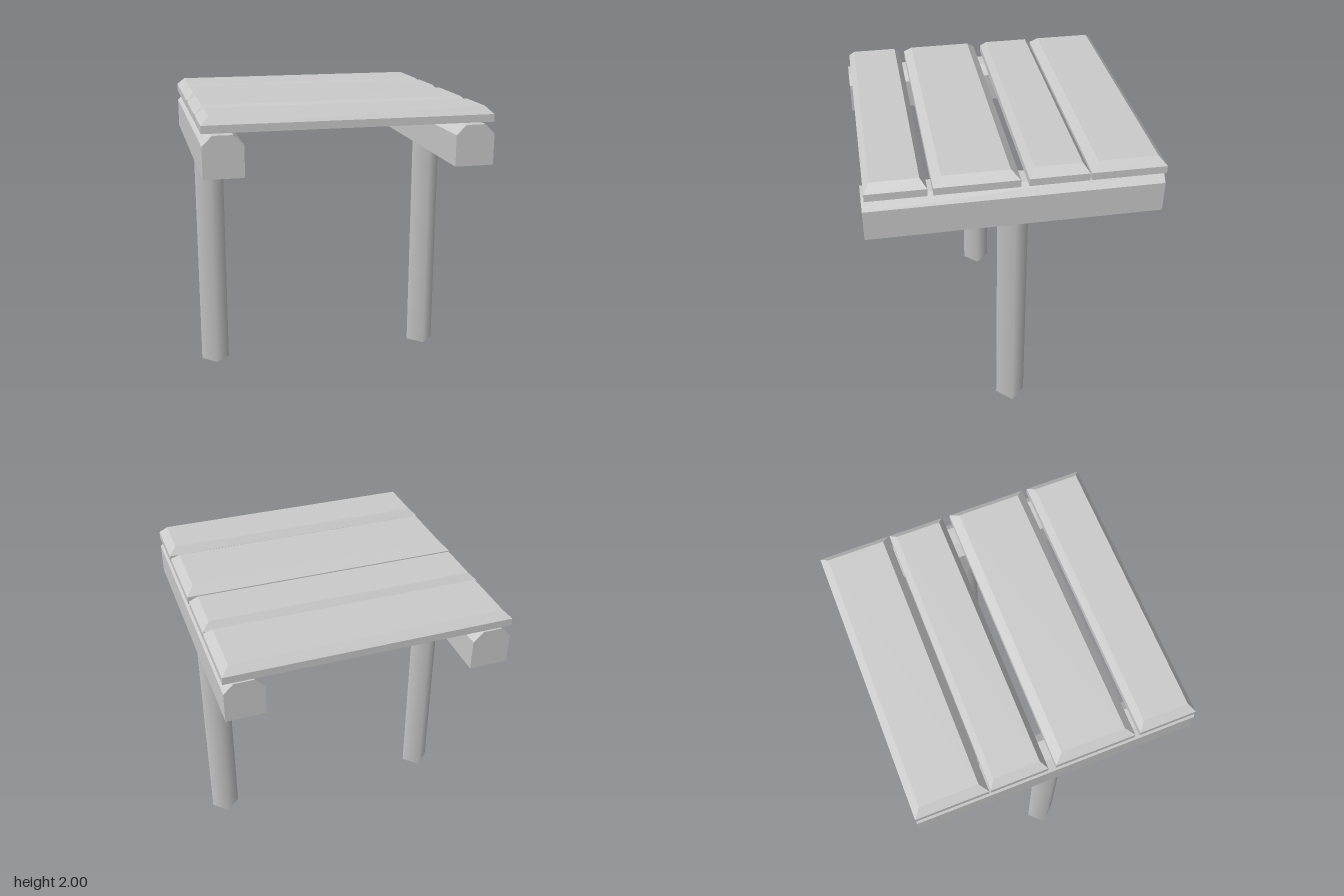
import * as THREE from 'three';

const flatGrey = new THREE.MeshStandardMaterial({ color: 0xcccccc, flatShading: true, side: THREE.DoubleSide });
const smoothGrey = new THREE.MeshStandardMaterial({ color: 0xcccccc, side: THREE.DoubleSide });

// Shell open underneath, lofted through rectangles [y, x0, x1, z0, z1] from bottom to top
function shell(name, sections) {
  const rings = sections.map(([y, x0, x1, z0, z1]) => [[x0, y, z1], [x1, y, z1], [x1, y, z0], [x0, y, z0]]);
  const pos = [];
  const quad = (a, b, c, d) => pos.push(...a, ...b, ...c, ...a, ...c, ...d);
  for (let r = 0; r < rings.length - 1; r++) {
    for (let i = 0; i < 4; i++) {
      const j = (i + 1) % 4;
      quad(rings[r][i], rings[r][j], rings[r + 1][j], rings[r + 1][i]);
    }
  }
  quad(...rings[rings.length - 1]);
  const geometry = new THREE.BufferGeometry();
  geometry.setAttribute('position', new THREE.Float32BufferAttribute(pos, 3));
  geometry.computeVertexNormals();
  const mesh = new THREE.Mesh(geometry, flatGrey);
  mesh.name = name;
  return mesh;
}

export function createModel() {
  const model = new THREE.Group();
  model.name = 'plankPlatform';

  // Deck planks with bevelled tops: back edge, front edge, bevel width
  const planks = [[-0.945, -0.465, 0.048], [-0.455, -0.075, 0.039], [-0.023, 0.512, 0.055], [0.547, 0.927, 0.039]];
  planks.forEach(([z0, z1, b], i) => {
    model.add(shell(`plank${i + 1}`, [
      [1.9, -0.945, 0.945, z0, z1],
      [1.95, -0.945, 0.945, z0, z1],
      [2.0, -0.892, 0.892, z0 + b, z1 - b],
    ]));
  });

  for (const [side, s] of [['left', 1], ['right', -1]]) {
    // Support beam with chamfered upper edges
    const x = s * 0.815, z = 0.945;
    model.add(shell(`${side}Beam`, [
      [1.62, x - 0.13, x + 0.13, -z, z],
      [1.825, x - 0.13, x + 0.13, -z, z],
      [1.89, x - 0.065, x + 0.065, -z, z],
    ]));

    // Four-sided post standing corner-on
    const post = new THREE.Mesh(new THREE.CylinderGeometry(0.101, 0.101, 1.62, 4, 1, true), smoothGrey);
    post.name = `${side}Post`;
    post.position.set(s * 0.813, 0.81, 0);
    model.add(post);
  }
  return model;
}
